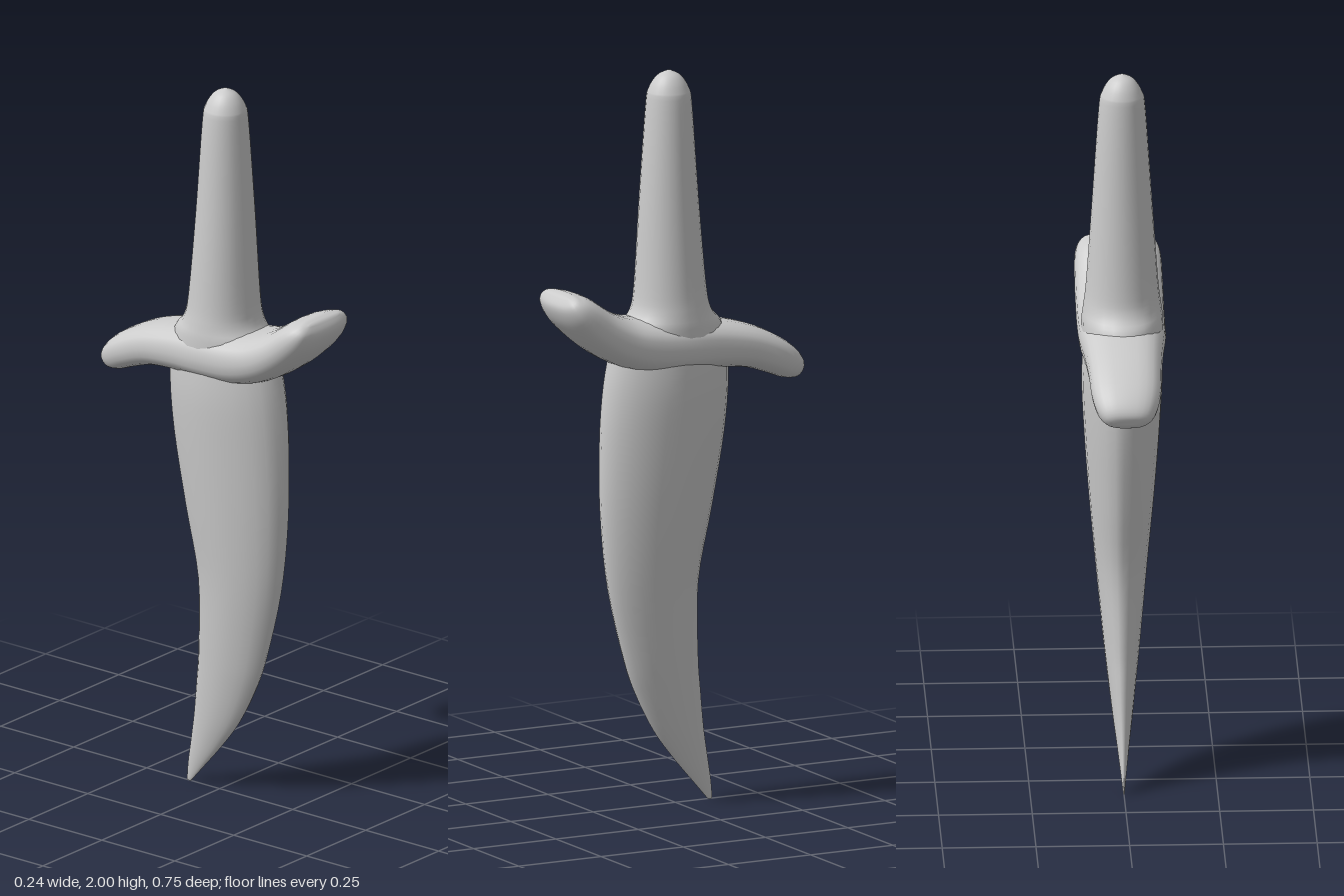
import * as THREE from 'three';

const SIDES = 24;
const STEPS = 4; // rings between two stations

// Catmull-Rom interpolation through rows of numbers
function smoothRows(rows) {
  const out = [];
  const at = (i) => rows[Math.max(0, Math.min(rows.length - 1, i))];
  for (let i = 0; i < rows.length - 1; i++) {
    for (let s = 0; s < STEPS; s++) {
      const t = s / STEPS;
      out.push(rows[i].map((b, k) => {
        const a = at(i - 1)[k], c = at(i + 1)[k], d = at(i + 2)[k];
        return b + 0.5 * t * (c - a + t * (2 * a - 5 * b + 4 * c - d + t * (3 * (b - c) + d - a)));
      }));
    }
  }
  out.push(rows[rows.length - 1]);
  return out;
}

// Skin over superelliptic rings { c, u, v, p }; u x v points along the path
function loft(name, rings, material) {
  const pos = [], index = [];
  const n = rings.length;
  const bend = (f, p) => Math.sign(f) * Math.pow(Math.abs(f), 2 / p);
  for (const { c, u, v, p } of rings) {
    for (let j = 0; j < SIDES; j++) {
      const a = (j / SIDES) * Math.PI * 2;
      const q = c.clone().addScaledVector(u, bend(Math.cos(a), p)).addScaledVector(v, bend(Math.sin(a), p));
      pos.push(q.x, q.y, q.z);
    }
  }
  for (let i = 0; i < n - 1; i++) {
    for (let j = 0; j < SIDES; j++) {
      const k = (j + 1) % SIDES;
      const a = i * SIDES + j, b = i * SIDES + k;
      index.push(a, b, b + SIDES, a, b + SIDES, a + SIDES);
    }
  }
  // End caps
  const first = pos.length / 3;
  pos.push(...rings[0].c.toArray(), ...rings[n - 1].c.toArray());
  for (let j = 0; j < SIDES; j++) {
    const k = (j + 1) % SIDES, e = (n - 1) * SIDES;
    index.push(first, k, j, first + 1, e + j, e + k);
  }
  const geometry = new THREE.BufferGeometry();
  geometry.setAttribute('position', new THREE.Float32BufferAttribute(pos, 3));
  geometry.setIndex(index);
  geometry.computeVertexNormals();
  const mesh = new THREE.Mesh(geometry, material);
  mesh.name = name;
  return mesh;
}

// Upright part from rows of [y, front z, back z, half width]
function upright(name, rows, p, material) {
  const rings = smoothRows(rows).map(([y, zf, zb, w]) => ({
    c: new THREE.Vector3(0, y, (zf + zb) / 2),
    u: new THREE.Vector3(0, 0, (zf - zb) / 2),
    v: new THREE.Vector3(w, 0, 0),
    p,
  }));
  return loft(name, rings, material);
}

export function createModel() {
  const model = new THREE.Group();
  model.name = 'dagger';
  const material = new THREE.MeshStandardMaterial({ color: 0xcccccc });

  // Curved blade, tip to guard
  model.add(upright('blade', [
    [0.0, -0.098, -0.112, 0.002],
    [0.05, -0.055, -0.108, 0.008],
    [0.12, 0.005, -0.097, 0.017],
    [0.2, 0.065, -0.085, 0.028],
    [0.3, 0.118, -0.075, 0.04],
    [0.4, 0.155, -0.067, 0.051],
    [0.6, 0.203, -0.066, 0.07],
    [0.8, 0.224, -0.106, 0.088],
    [1.0, 0.225, -0.142, 0.102],
    [1.15, 0.213, -0.155, 0.108],
    [1.27, 0.19, -0.15, 0.1],
  ], 1.85, material));

  // Tapered grip with a flared foot and a rounded end
  model.add(upright('handle', [
    [1.25, 0.17, -0.15, 0.11],
    [1.31, 0.155, -0.128, 0.109],
    [1.35, 0.125, -0.095, 0.104],
    [1.42, 0.113, -0.08, 0.096],
    [1.65, 0.1, -0.06, 0.08],
    [1.9, 0.083, -0.043, 0.063],
    [1.95, 0.075, -0.035, 0.054],
    [1.985, 0.053, -0.013, 0.032],
    [2.0, 0.025, 0.015, 0.004],
  ], 2, material));

  // S-shaped guard, back to front: [z, y, half thickness, half width]
  const rows = smoothRows([
    [-0.362, 1.143, 0.004, 0.02],
    [-0.355, 1.148, 0.026, 0.055],
    [-0.33, 1.168, 0.043, 0.078],
    [-0.28, 1.198, 0.052, 0.092],
    [-0.2, 1.23, 0.058, 0.098],
    [-0.1, 1.247, 0.066, 0.106],
    [0.0, 1.255, 0.072, 0.116],
    [0.1, 1.262, 0.072, 0.118],
    [0.18, 1.282, 0.065, 0.118],
    [0.25, 1.32, 0.058, 0.118],
    [0.31, 1.368, 0.052, 0.116],
    [0.34, 1.396, 0.04, 0.108],
    [0.353, 1.414, 0.024, 0.09],
    [0.358, 1.421, 0.004, 0.06],
  ]);
  const centres = rows.map(([z, y]) => new THREE.Vector3(0, y, z));
  const across = new THREE.Vector3(1, 0, 0);
  const rings = rows.map(([, , thick, wide], i) => {
    const along = centres[Math.min(i + 1, rows.length - 1)].clone().sub(centres[Math.max(i - 1, 0)]).normalize();
    return {
      c: centres[i],
      u: across.clone().multiplyScalar(wide),
      v: along.cross(across).multiplyScalar(thick),
      p: 2.5,
    };
  });
  model.add(loft('guard', rings, material));

  return model;
}
